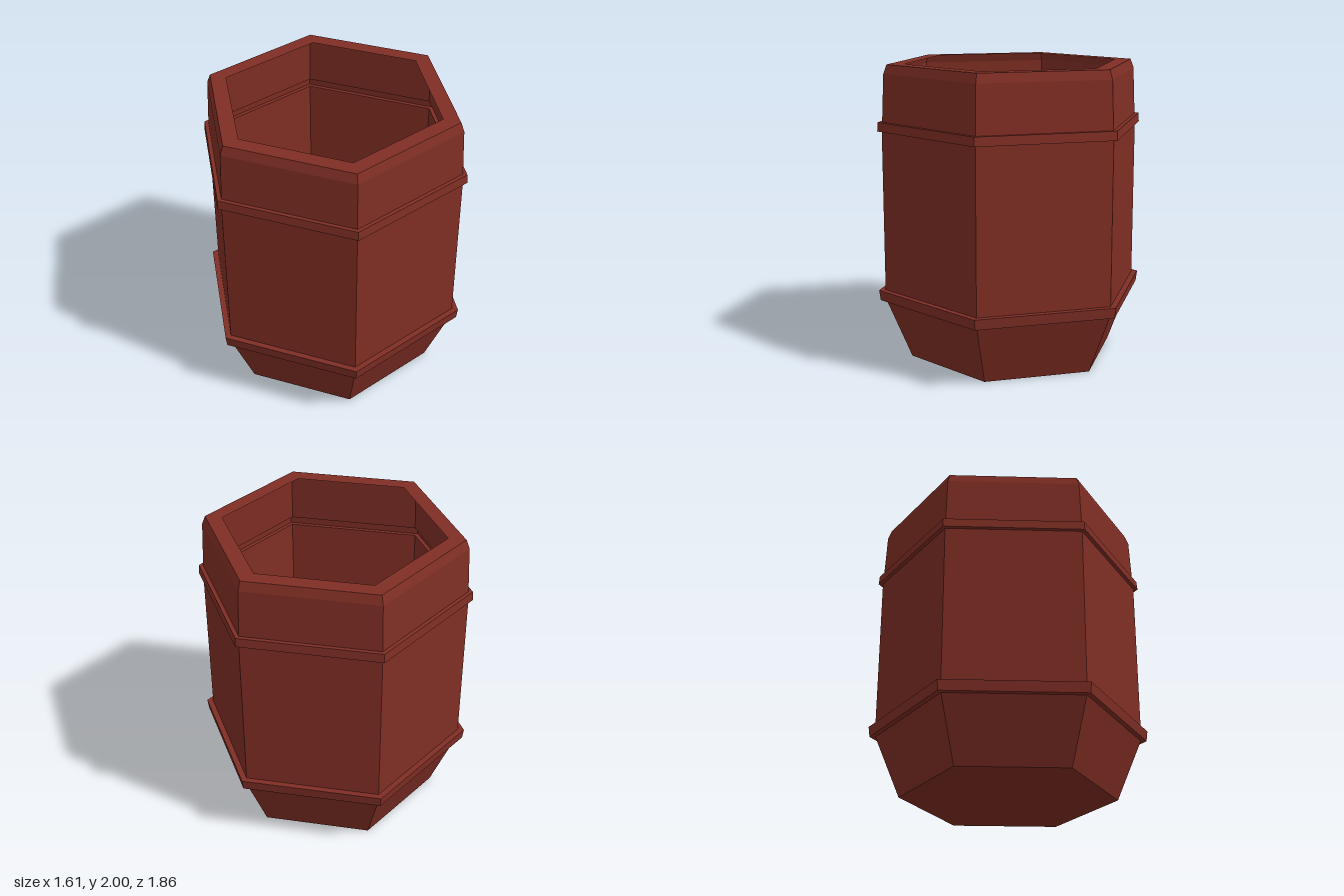
import * as THREE from 'three';

export function createModel() {
  const barrel = new THREE.Group();
  barrel.name = 'hexagonalBarrel';
  const redBrown = new THREE.MeshStandardMaterial({
    color: 0x7f2e24, flatShading: true, side: THREE.DoubleSide,
  });
  redBrown.name = 'redBrown';

  // Six-sided ring of sheet following [radius, height] points, corners on +z and -z
  function hexPart(name, profile) {
    const points = profile.map(([r, y]) => new THREE.Vector2(r, y));
    const mesh = new THREE.Mesh(new THREE.LatheGeometry(points, 6), redBrown);
    mesh.name = name;
    barrel.add(mesh);
  }

  // Floor and tapered foot
  hexPart('floor', [[0, 0], [0.713, 0]]);
  hexPart('taperedFoot', [[0.713, 0], [0.883, 0.415]]);

  // Raised bands, hollow on the inside
  hexPart('lowerBand', [[0.883, 0.415], [0.922, 0.415], [0.931, 0.485], [0.887, 0.485]]);
  hexPart('upperBand', [[0.887, 1.565], [0.917, 1.565], [0.912, 1.625], [0.883, 1.625]]);

  // Straight wall between the bands
  hexPart('wall', [[0.887, 0.485], [0.887, 1.565]]);

  // Collar leaning inward, with a bevelled shoulder
  hexPart('collar', [[0.883, 1.625], [0.868, 1.94], [0.845, 2]]);

  // Flat rim around the opening
  hexPart('rim', [[0.845, 2], [0.73, 2]]);

  return barrel;
}
